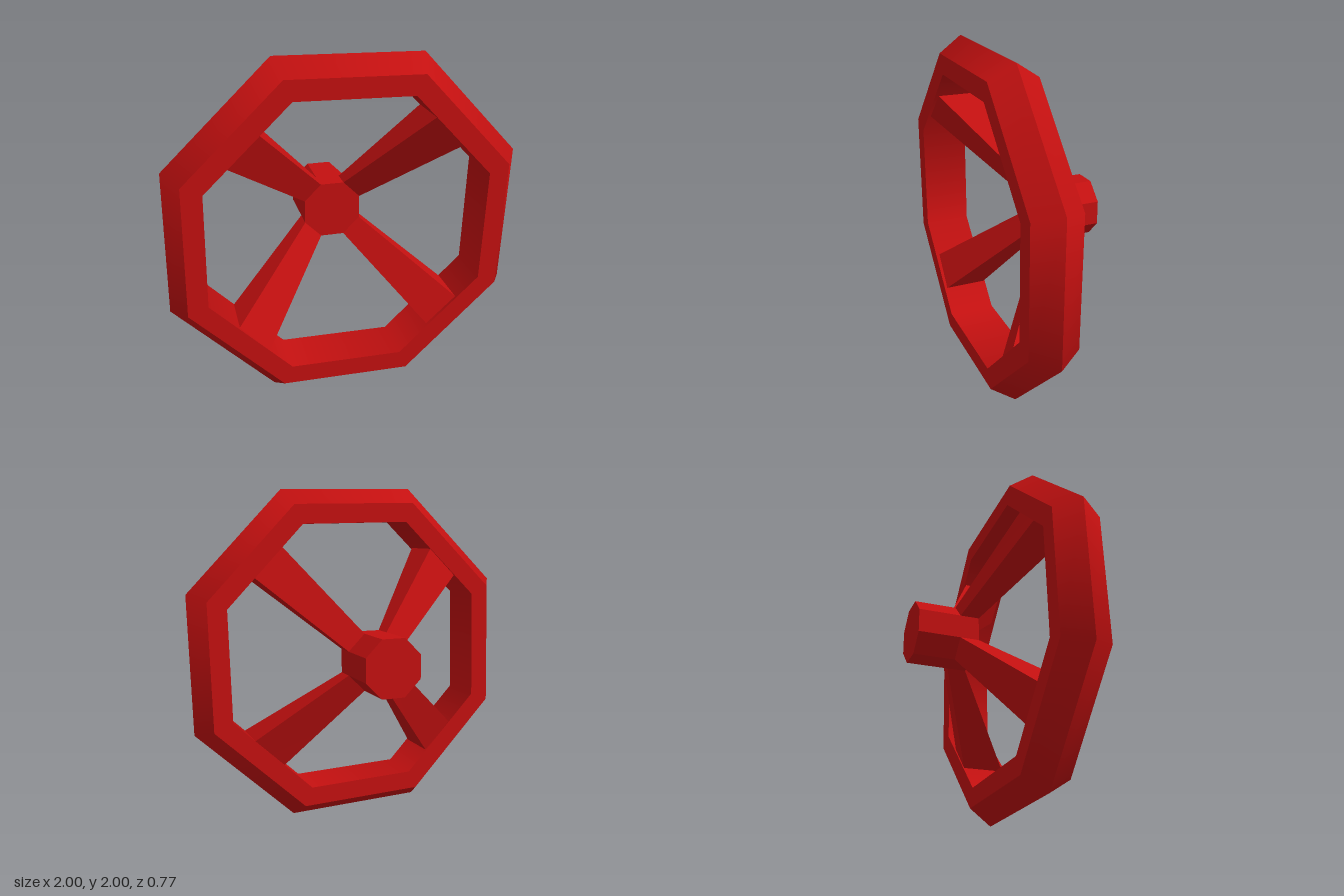
import * as THREE from 'three';
import { mergeGeometries, toCreasedNormals } from 'three/addons/utils/BufferGeometryUtils.js';

const DEG = Math.PI / 180;
const TILT = 1.3 * DEG; // the rim sits slightly turned on the hub

// Octagonal rim: one lathe strip per profile edge keeps the bands crisp
function rimGeometry() {
  const profile = [[0.855, 0.105], [0.976, 0.105], [1.0725, 0.245], [0.976, 0.385], [0.855, 0.385]];
  const strips = profile.map((p, i) => {
    const q = profile[(i + 1) % profile.length];
    const points = [new THREE.Vector2(...p), new THREE.Vector2(...q)];
    return new THREE.LatheGeometry(points, 8, 22.5 * DEG - TILT);
  });
  return mergeGeometries(strips).rotateX(Math.PI / 2);
}

// Spoke flaring from a diagonal hub facet to the inner wall of the rim
function spokeGeometry(angle) {
  const section = (radius, half, back, front, turn) =>
    [[-half, back], [half, back], [half, front], [-half, front]].map(([t, z]) =>
      new THREE.Vector3(radius, t, z).applyAxisAngle(new THREE.Vector3(0, 0, 1), angle + turn));
  const a = section(0.18 * Math.cos(22.5 * DEG), 0.18 * Math.sin(22.5 * DEG), -0.14, -0.03, 0);
  const b = section(0.797, 0.12, 0.115, 0.37, TILT * 0.6);
  const corners = [];
  for (let i = 0; i < 4; i++) {
    const j = (i + 1) % 4;
    corners.push(a[i], a[j], b[j], a[i], b[j], b[i]);
  }
  return new THREE.BufferGeometry().setFromPoints(corners);
}

// Octagonal hub
function hubGeometry() {
  const hub = new THREE.CylinderGeometry(0.18, 0.18, 0.355, 8, 1, false, 22.5 * DEG)
    .rotateX(Math.PI / 2).translate(0, 0, -0.2075).toNonIndexed();
  hub.deleteAttribute('uv');
  hub.deleteAttribute('normal');
  return hub;
}

export function createModel() {
  const red = new THREE.MeshStandardMaterial({ color: 0xc41010 });
  red.name = 'red';

  const rim = new THREE.Mesh(rimGeometry(), red);
  rim.name = 'rim';

  // Hub front flows softly into the spokes, other edges stay sharp
  const parts = [hubGeometry()];
  for (let k = 0; k < 4; k++) parts.push(spokeGeometry((45 + 90 * k) * DEG));
  const hub = new THREE.Mesh(toCreasedNormals(mergeGeometries(parts), 0.65), red);
  hub.name = 'hubAndSpokes';

  const wheel = new THREE.Group();
  wheel.name = 'handwheel';
  wheel.add(rim, hub);
  wheel.position.y = 1;

  const model = new THREE.Group();
  model.add(wheel);
  return model;
}
